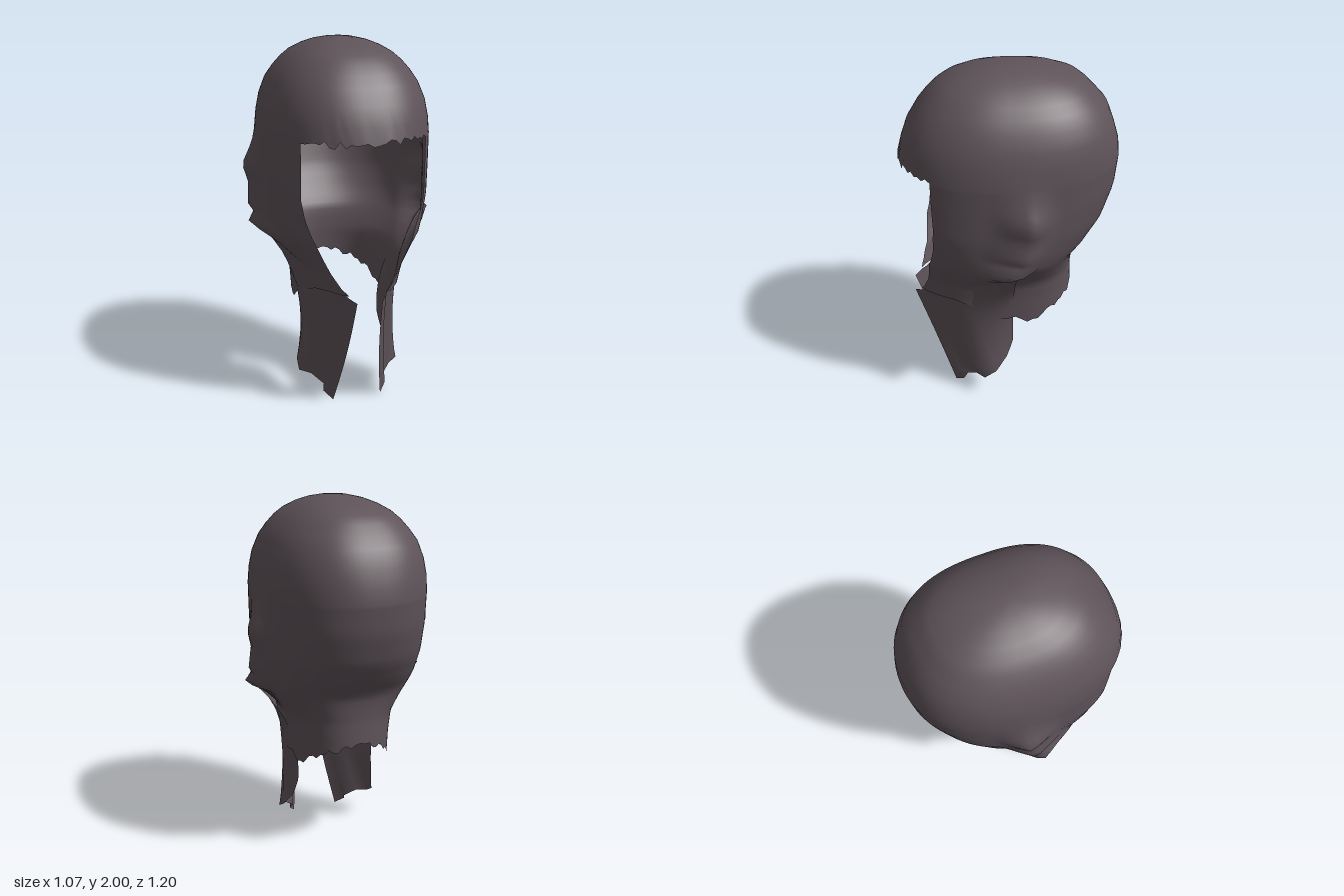
import * as THREE from 'three';
import { mergeVertices } from 'three/addons/utils/BufferGeometryUtils.js';

const hair = new THREE.MeshStandardMaterial({ color: 0x5e5359, side: THREE.DoubleSide });
hair.name = 'dark hair';

// Piecewise lookup: table rows are [key, value, ...], keys ascending
function lookup(table, key, col = 1) {
  let i = 1;
  while (i < table.length - 1 && table[i][0] < key) i++;
  const [a, b] = [table[i - 1], table[i]];
  const k = THREE.MathUtils.clamp((key - a[0]) / (b[0] - a[0]), 0, 1);
  return a[col] + (b[col] - a[col]) * k;
}

const jitter = (n) => { const s = Math.sin(n * 12.9898) * 43758.5453; return s - Math.floor(s); };

// Height, half width, front depth, back depth
const PROFILE = [
  [0.48, 0.27, 0.52, 0.37], [0.68, 0.285, 0.535, 0.365], [0.8, 0.305, 0.575, 0.36],
  [0.9, 0.375, 0.575, 0.365], [0.96, 0.42, 0.57, 0.38], [1.03, 0.44, 0.565, 0.44],
  [1.17, 0.455, 0.6, 0.53], [1.34, 0.46, 0.6, 0.585], [1.5, 0.462, 0.6, 0.6],
  [1.59, 0.452, 0.578, 0.59], [1.68, 0.432, 0.545, 0.562], [1.77, 0.395, 0.49, 0.528],
  [1.83, 0.355, 0.443, 0.475], [1.88, 0.312, 0.395, 0.428], [1.92, 0.265, 0.342, 0.38],
  [1.955, 0.205, 0.265, 0.292], [1.98, 0.14, 0.18, 0.2], [1.994, 0.075, 0.1, 0.11], [2, 0, 0, 0],
];
// Half width of the face opening by height
const OPENING = [[0.6, 0.07], [0.68, 0.1], [0.72, 0.14], [0.8, 0.19], [0.9, 0.24], [1, 0.285], [1.1, 0.32], [1.2, 0.338], [1.5, 0.338]];
// Ear bulge by height: amount, and depth position of its ridge
const EAR = [[0.78, 0, 0.25], [0.9, 0.03, 0.12], [1, 0.11, 0], [1.035, 0.06, -0.02], [1.08, 0.085, -0.04],
  [1.2, 0.065, -0.07], [1.3, 0.09, -0.08], [1.42, 0.03, -0.08], [1.52, 0, -0.08]];
// Ragged lower hem, from face edge (0) to nape (1)
const HEM = [[0, 0.67], [0.12, 0.68], [0.22, 0.67], [0.33, 0.62], [0.42, 0.54], [0.52, 0.5], [0.62, 0.53], [0.8, 0.61], [1, 0.67]];

const HEM_START = 0.85, BROW = 1.5, COLS = 48, FRINGE = 14;
const bend = (v, power) => Math.sign(v) * Math.abs(v) ** (2 / power);

// One point of the head shell; i runs from -COLS to COLS with 0 at the front
function shellPoint(y, i, lastRow) {
  const n = Math.abs(i);
  if (y < HEM_START) {
    const t = Math.max(0, (n - FRINGE) / (COLS - FRINGE));
    const hem = lookup(HEM, t) + (t > 0.4 && lastRow && n < COLS ? (jitter(i) - 0.5) * 0.05 : 0);
    y = HEM_START - ((HEM_START - y) / (HEM_START - 0.5)) * (HEM_START - hem);
  }
  const w = lookup(PROFILE, y), front = lookup(PROFILE, y, 2), back = lookup(PROFILE, y, 3);
  const power = 2.2 + THREE.MathUtils.clamp(y - BROW, 0, 0.25);
  const ratio = y >= BROW ? 0.338 / 0.462 : lookup(OPENING, y) / w;
  const a0 = Math.asin(ratio ** (power / 2));
  const a = n <= FRINGE ? (a0 * n) / FRINGE : a0 + ((Math.PI - a0) * (n - FRINGE)) / (COLS - FRINGE);
  let x = n === COLS ? 0 : w * bend(Math.sin(a), power);
  const c = bend(Math.cos(a), power), z = c > 0 ? c * front : c * back;
  if (y < 1.52 && y > 0.78) {
    const d = z - lookup(EAR, y, 2);
    x += lookup(EAR, y) * Math.max(0, 1 - Math.abs(d) / (d > 0 ? 0.2 : 0.14));
  }
  // Uneven fringe over the brow
  if (y === BROW && n < FRINGE) y += (jitter(i + 7) - 0.5) * 0.04 + 0.005;
  return [Math.sign(i) * x, y, z];
}

// Surface from a grid of points, rows going down and columns to the right
function sheet(rows, cols, point, keep = () => true, flip = false) {
  const pos = [], index = [];
  for (let j = 0; j < rows; j++) for (let i = 0; i < cols; i++) pos.push(...point(j, i));
  for (let j = 0; j < rows - 1; j++) for (let i = 0; i < cols - 1; i++) {
    if (!keep(j, i)) continue;
    const a = j * cols + i, b = a + cols, c = b + 1, d = a + 1;
    if (flip) index.push(a, c, b, a, d, c);
    else index.push(a, b, c, a, c, d);
  }
  let g = new THREE.BufferGeometry();
  g.setAttribute('position', new THREE.Float32BufferAttribute(pos, 3));
  g.setIndex(index);
  g = mergeVertices(g, 1e-5);
  g.computeVertexNormals();
  return g;
}

function addMesh(group, name, geometry) {
  const mesh = new THREE.Mesh(geometry, hair);
  mesh.name = name;
  group.add(mesh);
}

// Pleated lock from the ear down beside the neck: [top, bottom, inward curve] per pleat line
const LOCK = [
  [[0.07, 0.65, 0.55], [0.14, 0, 0.335], 1],
  [[0.105, 0.67, 0.51], [0.185, 0.04, 0.29], 1],
  [[0.115, 0.68, 0.485], [0.175, 0.07, 0.265], 1],
  [[0.165, 0.7, 0.43], [0.235, 0.12, 0.215], 1],
  [[0.215, 0.73, 0.35], [0.295, 0.13, 0.17], 0.8],
  [[0.265, 0.78, 0.26], [0.29, 0.17, 0.1], 1],
  [[0.355, 0.88, 0.15], [0.255, 0.25, 0.035], 1.7],
  [[0.43, 0.945, 0.07], [0.245, 0.3, 0.015], 2],
  [[0.51, 1.0, 0.0], [0.235, 0.36, -0.005], 2.3],
];

export function createModel() {
  const group = new THREE.Group();
  group.name = 'hair shell';

  // Cap, side curtains and nape, open at the face
  const heights = PROFILE.map((r) => r[0]).filter((y) => y >= BROW).reverse();
  for (let y = 1.48; y > 0.495; y -= 0.04) heights.push(y);
  const browRow = heights.indexOf(BROW), last = heights.length - 1;
  addMesh(group, 'headShell', sheet(
    heights.length, COLS * 2 + 1,
    (j, i) => shellPoint(heights[j], i - COLS, j === last),
    (j, i) => j < browRow || i - COLS >= FRINGE || i - COLS < -FRINGE,
  ));

  // Front locks, mirrored
  for (const side of [1, -1]) {
    addMesh(group, side > 0 ? 'leftLock' : 'rightLock', sheet(11, LOCK.length, (j, i) => {
      const k = j / 10, [top, bottom, curve] = LOCK[i];
      const [x, y, z] = top.map((v, n) => v + (bottom[n] - v) * (n === 0 ? 1 - (1 - k) ** curve : k));
      return [side * (x - Math.sin(k * Math.PI) * 0.012), y, z];
    }, undefined, side < 0));
  }
  return group;
}
